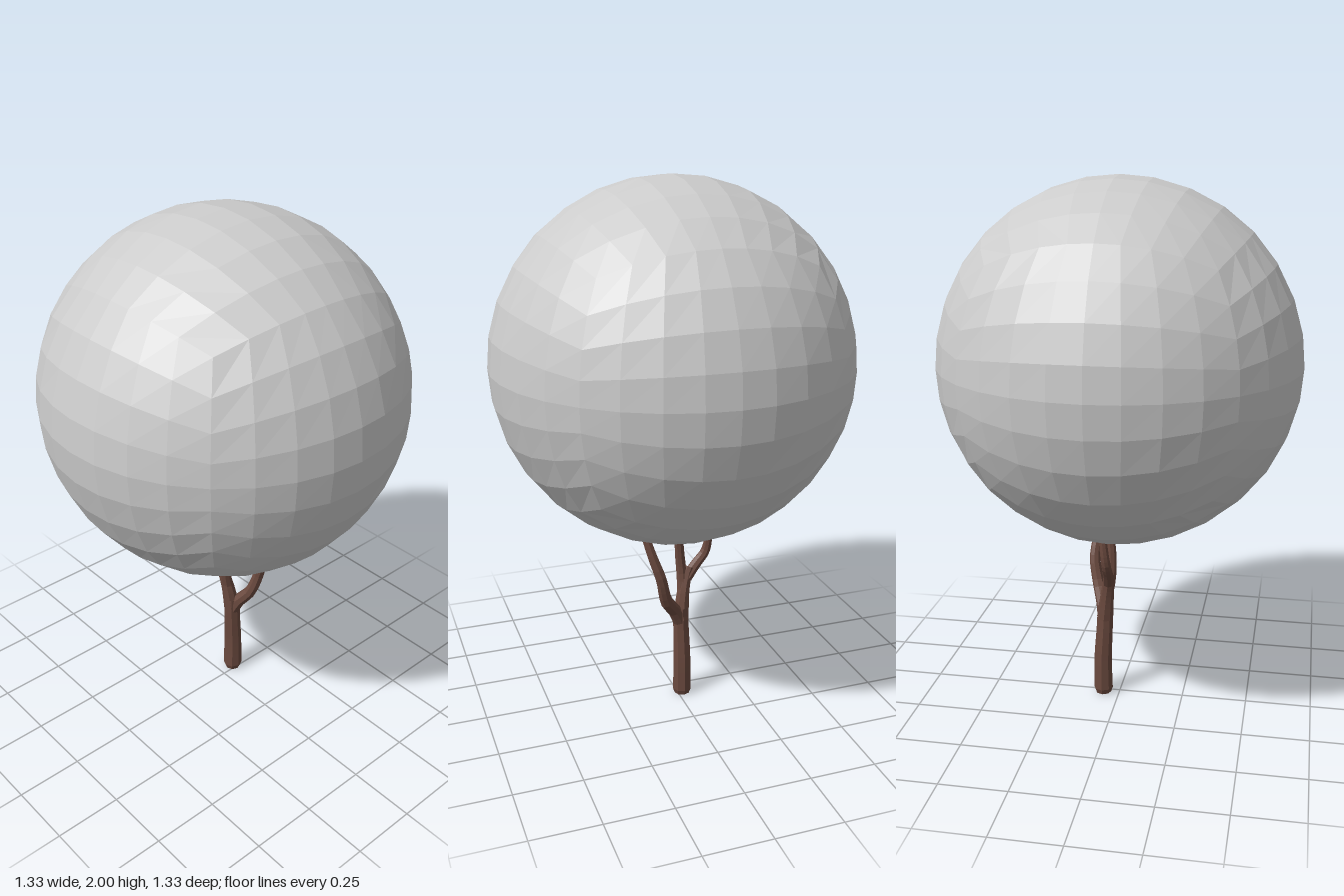
import * as THREE from 'three';

const leafMaterial = new THREE.MeshStandardMaterial({ color: 0xcccccc, flatShading: true });
const barkMaterial = new THREE.MeshStandardMaterial({ color: 0x6b4a3f, flatShading: true });

// Round crown: a cube grid pushed out onto a sphere
function makeCrown(radius) {
  const geometry = new THREE.BoxGeometry(2, 2, 2, 8, 8, 8);
  const pos = geometry.attributes.position;
  const v = new THREE.Vector3();
  const spread = (c) => Math.sign(c) * Math.tan(Math.PI / 4 * Math.abs(c) ** 1.06);
  for (let i = 0; i < pos.count; i++) {
    v.fromBufferAttribute(pos, i);
    v.set(spread(v.x), spread(v.y), spread(v.z)).setLength(radius);
    pos.setXYZ(i, v.x, v.y, v.z);
  }
  geometry.computeVertexNormals();
  const crown = new THREE.Mesh(geometry, leafMaterial);
  crown.name = 'crown';
  return crown;
}

// Tapered limb: an eight-sided tube whose rings are scaled from radius r0 to r1
function makeLimb(name, points, r0, r1, steps = 10, footScale = 1) {
  const sides = 8;
  const curve = new THREE.CatmullRomCurve3(points.map((p) => new THREE.Vector3(...p)));
  const geometry = new THREE.TubeGeometry(curve, steps, 1, sides, false);
  const pos = geometry.attributes.position;
  const v = new THREE.Vector3();
  for (let i = 0; i < pos.count; i++) {
    const ring = Math.floor(i / (sides + 1));
    const centre = curve.getPointAt(ring / steps);
    const r = THREE.MathUtils.lerp(r0, r1, ring / steps) * (ring === 0 ? footScale : 1);
    v.fromBufferAttribute(pos, i).sub(centre).multiplyScalar(r).add(centre);
    pos.setXYZ(i, v.x, v.y, v.z);
  }
  geometry.computeVertexNormals();
  const limb = new THREE.Mesh(geometry, barkMaterial);
  limb.name = name;
  return limb;
}

export function createModel() {
  const tree = new THREE.Group();
  tree.name = 'tree';

  const crown = makeCrown(0.665);
  crown.position.y = 1.335;
  tree.add(crown);

  // Trunk with a slightly bevelled, closed foot
  tree.add(makeLimb('trunk', [
    [-0.018, 0, -0.063], [-0.018, 0.15, -0.064], [-0.016, 0.27, -0.058], [-0.014, 0.37, -0.055],
  ], 0.038, 0.03, 18, 0.8));
  const foot = new THREE.Mesh(new THREE.CircleGeometry(0.031, 8), barkMaterial);
  foot.name = 'trunkFoot';
  foot.rotation.x = Math.PI / 2;
  foot.position.set(-0.018, 0.001, -0.063);
  tree.add(foot);

  // Left branch, leaning outward and back
  tree.add(makeLimb('leftBranch', [
    [-0.012, 0.31, -0.058], [0.015, 0.365, -0.07], [0.055, 0.42, -0.092],
    [0.085, 0.53, -0.115], [0.115, 0.62, -0.105], [0.142, 0.72, -0.085],
  ], 0.028, 0.015, 14));

  // Fork stem that carries the middle and right branches
  tree.add(makeLimb('forkStem', [
    [-0.016, 0.32, -0.056], [-0.028, 0.42, -0.045], [-0.045, 0.49, -0.035], [-0.06, 0.525, -0.032],
  ], 0.032, 0.02, 8));
  tree.add(makeLimb('middleBranch', [
    [-0.028, 0.41, -0.047], [-0.027, 0.5, -0.031], [-0.02, 0.58, -0.029], [-0.008, 0.72, -0.042],
  ], 0.023, 0.016));
  tree.add(makeLimb('rightBranch', [
    [-0.045, 0.48, -0.037], [-0.085, 0.53, -0.031], [-0.122, 0.575, -0.03],
    [-0.133, 0.62, -0.034], [-0.132, 0.72, -0.045],
  ], 0.022, 0.014, 14));

  return tree;
}
